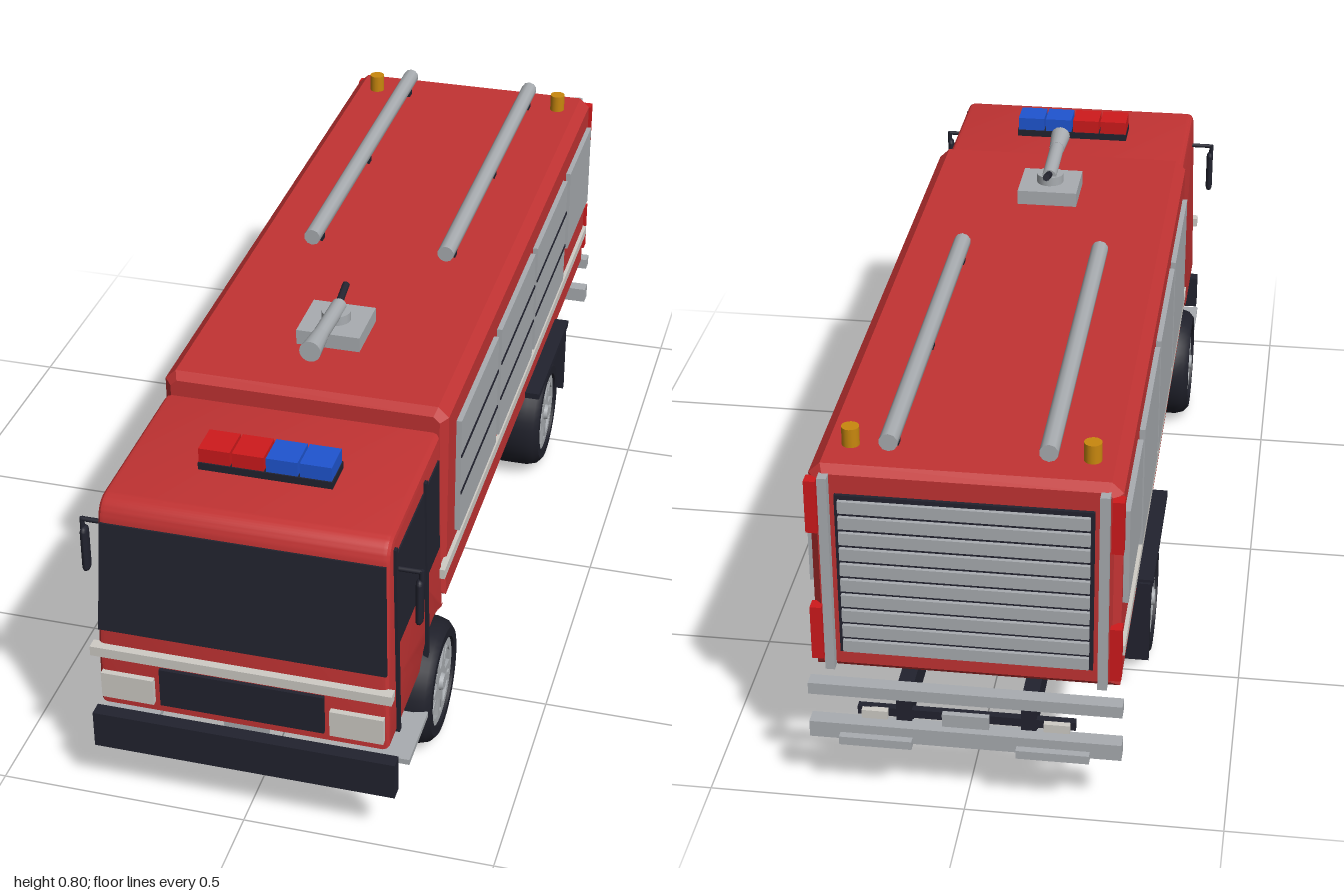
import * as THREE from 'three';
import { toCreasedNormals } from 'three/addons/utils/BufferGeometryUtils.js';

const mat = (name, color, side = THREE.FrontSide) =>
  Object.assign(new THREE.MeshStandardMaterial({ color, side }), { name });

export function createModel() {
  const red = mat('body red', 0xc23333);
  const dark = mat('dark trim', 0x22232f);
  const tyreMat = mat('tyre black', 0x1f202a);
  const grey = mat('metal grey', 0xa9adb1);
  const pale = mat('pale stripe', 0xcfccc6);
  const lampRed = mat('lamp red', 0xcf1a1c);
  const blue = mat('lamp blue', 0x1f55d0);
  const amber = mat('amber', 0xc9880e);

  const truck = new THREE.Group();
  truck.name = 'fireTruck';

  const add = (name, geo, m, parent = truck) => {
    const mesh = new THREE.Mesh(geo, m);
    mesh.name = name;
    parent.add(mesh);
    return mesh;
  };
  // box given by its limits on each axis
  const boxGeo = (x0, x1, y0, y1, z0, z1) =>
    new THREE.BoxGeometry(x1 - x0, y1 - y0, z1 - z0).translate((x0 + x1) / 2, (y0 + y1) / 2, (z0 + z1) / 2);
  const box = (name, m, ...b) => add(name, boxGeo(...b), m);
  // the same box on both sides
  const pair = (name, m, x0, x1, ...b) => {
    box(name + 'Left', m, x0, x1, ...b);
    box(name + 'Right', m, -x1, -x0, ...b);
  };
  const cyl = (name, m, r, a, b, sides = 16, r2 = r) => {
    const from = new THREE.Vector3(...a), to = new THREE.Vector3(...b);
    const dir = to.clone().sub(from);
    const mesh = add(name, new THREE.CylinderGeometry(r2, r, dir.length(), sides), m);
    mesh.position.copy(from).add(to).multiplyScalar(0.5);
    mesh.quaternion.setFromUnitVectors(new THREE.Vector3(0, 1, 0), dir.normalize());
    return mesh;
  };
  // the cab leans inwards towards the roof
  const lean = (geo) => {
    const p = geo.attributes.position;
    for (let i = 0; i < p.count; i++)
      p.setX(i, p.getX(i) - Math.sign(p.getX(i)) * (p.getY(i) - 0.225) * 0.02);
    geo.computeVertexNormals();
    return geo;
  };

  // Cab: side profile (z, y) with wheel arch, pulled across the width
  const profile = new THREE.Shape();
  profile.moveTo(0.744, 0.225);
  profile.lineTo(0.982, 0.225);
  profile.lineTo(0.982, 0.36);
  profile.lineTo(0.957, 0.63);
  profile.quadraticCurveTo(0.952, 0.675, 0.91, 0.675);
  profile.lineTo(0.567, 0.675);
  profile.lineTo(0.567, 0.25);
  for (let i = 0; i <= 8; i++) {
    const a = 2.1 - i * (2.1 - 0.76) / 8;
    profile.lineTo(0.64 + 0.143 * Math.cos(a), 0.13 + 0.143 * Math.sin(a));
  }
  const bevel = 0.014;
  let cab = new THREE.ExtrudeGeometry(profile, {
    depth: 0.58 - 2 * bevel, bevelThickness: bevel, bevelSize: bevel, bevelOffset: -bevel, bevelSegments: 3,
  });
  cab.translate(0, 0, -(0.29 - bevel)).rotateY(-Math.PI / 2);
  add('cab', toCreasedNormals(lean(cab), 0.5), red);

  // Windscreen, leaning back with the cab front
  const glass = new THREE.Shape([[-0.283, 0], [0.283, 0], [0.275, 0.233], [-0.275, 0.233]]
    .map(([x, y]) => new THREE.Vector2(x, y)));
  const screen = add('windscreen', new THREE.ExtrudeGeometry(glass, { depth: 0.007, bevelEnabled: false }), dark);
  screen.position.set(0, 0.398, 0.976);
  screen.rotation.x = -0.093;

  // Cab front
  box('frontStripe', pale, -0.297, 0.297, 0.345, 0.366, 0.975, 0.998);
  box('grille', dark, -0.163, 0.163, 0.245, 0.33, 0.975, 0.99);
  pair('headlight', pale, 0.175, 0.28, 0.246, 0.303, 0.975, 0.994);
  box('frontBumper', dark, -0.303, 0.303, 0.12, 0.2, 0.966, 0.995);
  box('frontPlate', grey, -0.045, 0.045, 0.19, 0.22, 0.955, 0.965);

  // Cab door: windows and seams on the left side
  for (const [z0, z1] of [[0.71, 0.912], [0.592, 0.69]])
    add('sideWindow', lean(boxGeo(0.286, 0.293, 0.425, 0.63, z0, z1)), dark);
  for (const z of [0.925, 0.7])
    add('doorSeam', lean(boxGeo(0.286, 0.296, 0.23, 0.65, z - 0.006, z + 0.006)), dark);

  // Mirrors and steps
  for (const s of [-1, 1]) {
    cyl('mirrorArm', dark, 0.005, [s * 0.275, 0.597, 0.91], [s * 0.33, 0.597, 0.91], 8);
    cyl('mirrorStem', dark, 0.005, [s * 0.33, 0.6, 0.91], [s * 0.33, 0.57, 0.91], 8);
    const mirror = add('mirror', new THREE.CapsuleGeometry(0.011, 0.08, 4, 10), dark);
    mirror.scale.set(0.7, 1, 1.3);
    mirror.position.set(s * 0.327, 0.53, 0.91);
  }
  pair('cabStep', grey, 0.2, 0.31, 0.134, 0.146, 0.76, 0.91);

  // Light bar
  box('lightBarBase', dark, -0.132, 0.132, 0.672, 0.69, 0.73, 0.805);
  for (let i = 0; i < 4; i++) {
    const x = -0.131 + i * 0.0663;
    box('lightBarLamp', i < 2 ? lampRed : blue, x, x + 0.062, 0.69, 0.72, 0.733, 0.802);
  }

  // Body: chamfered section pulled along z
  const section = new THREE.Shape([[-0.29, 0.27], [0.29, 0.27], [0.29, 0.693], [0.268, 0.714], [-0.268, 0.714], [-0.29, 0.693]]
    .map(([x, y]) => new THREE.Vector2(x, y)));
  const body = new THREE.ExtrudeGeometry(section, {
    depth: 1.465, bevelThickness: 0.015, bevelSize: 0.015, bevelOffset: -0.015, bevelSegments: 1,
  });
  add('body', body.translate(0, 0, -0.93), red);

  // Side lockers, with slat lines on the left side
  const lockers = [[0.13, 0.47], [-0.245, 0.1], [-0.615, -0.27]];
  for (const [z0, z1] of lockers) {
    pair('locker', grey, 0.285, 0.301, 0.385, 0.646, z0, z1);
    for (const y of [0.476, 0.564]) box('lockerLine', dark, 0.298, 0.303, y - 0.003, y + 0.003, z0, z1);
  }
  pair('rearLocker', grey, 0.285, 0.301, 0.447, 0.646, -0.915, -0.652);
  pair('sideStripe', pale, 0.285, 0.298, 0.342, 0.364, -0.935, 0.583);

  // Rear shutter, posts and lamps
  box('shutterBack', dark, -0.24, 0.24, 0.315, 0.66, -0.952, -0.94);
  for (let i = 0; i < 10; i++) {
    const y = 0.32 + i * 0.034;
    box('shutterSlat', grey, -0.233, 0.233, y, y + 0.025, -0.96, -0.945);
  }
  pair('rearPost', grey, 0.25, 0.268, 0.28, 0.7, -0.964, -0.94);
  pair('upperTailLamp', lampRed, 0.272, 0.294, 0.58, 0.69, -0.96, -0.935);
  pair('lowerTailLamp', lampRed, 0.272, 0.294, 0.3, 0.415, -0.96, -0.935);

  // Rear bumpers and brackets
  box('rearUpperBar', grey, -0.3, 0.3, 0.232, 0.257, -0.982, -0.953);
  box('rearLowerBar', grey, -0.3, 0.3, 0.135, 0.17, -0.985, -0.953);
  pair('rearStepPad', grey, 0.1, 0.24, 0.132, 0.15, -1.0, -0.98);
  pair('rearBracket', dark, 0.105, 0.135, 0.15, 0.24, -0.96, -0.94);
  box('rearPlate', grey, -0.045, 0.045, 0.172, 0.2, -0.972, -0.96);
  pair('rearReflector', pale, 0.15, 0.2, 0.178, 0.196, -0.972, -0.958);
  box('rearCrossBar', dark, -0.21, 0.21, 0.178, 0.196, -0.96, -0.945);

  // Chassis rails, rear fenders and mud flaps
  pair('chassisRail', dark, 0.105, 0.136, 0.175, 0.237, -0.945, 0.905);
  pair('railMount', dark, 0.105, 0.136, 0.23, 0.29, 0.5, 0.59);
  pair('rearFender', dark, 0.185, 0.323, 0.272, 0.286, -0.59, -0.24);
  pair('mudFlap', dark, 0.185, 0.318, 0.095, 0.28, -0.596, -0.586);

  // Roof tubes on supports, and beacons
  for (const s of [-1, 1]) {
    cyl('roofTube', grey, 0.018, [s * 0.148, 0.742, -0.89], [s * 0.148, 0.742, -0.02], 10);
    for (const z of [-0.07, -0.46, -0.84])
      box('tubeSupport', dark, s * 0.148 - 0.012, s * 0.148 + 0.012, 0.71, 0.73, z - 0.01, z + 0.01);
    cyl('beacon', amber, 0.017, [s * 0.225, 0.71, -0.855], [s * 0.225, 0.752, -0.855], 16);
  }

  // Water cannon
  box('cannonBase', grey, -0.066, 0.066, 0.712, 0.746, 0.247, 0.375);
  cyl('cannonPivot', grey, 0.03, [0, 0.74, 0.31], [0, 0.766, 0.31], 18);
  cyl('cannonBarrel', grey, 0.016, [0, 0.766, 0.29], [0, 0.775, 0.44], 16);
  cyl('cannonNozzle', grey, 0.017, [0, 0.774, 0.43], [0, 0.777, 0.5], 16, 0.022);
  cyl('cannonLever', dark, 0.008, [0, 0.757, 0.34], [0, 0.786, 0.236], 8);

  // Wheels: tyre with a rim of five paired spokes
  const tyrePts = [[0, -0.061], [0.11, -0.061], [0.124, -0.05], [0.13, -0.03], [0.13, 0.03], [0.124, 0.05],
    [0.112, 0.061], [0.093, 0.061], [0.091, 0.043], [0, 0.043]].map(([r, y]) => new THREE.Vector2(r, y));
  const tyreGeo = toCreasedNormals(new THREE.LatheGeometry(tyrePts, 40).rotateZ(-Math.PI / 2), 0.6);
  const rim = new THREE.Shape().absarc(0, 0, 0.092, 0, Math.PI * 2);
  const hole = (a, r0, w0, r1, w1) => rim.holes.push(new THREE.Path(
    [[r0, -w0], [r1, -w1], [r1 * 1.03, 0], [r1, w1], [r0, w0]]
      .map(([r, t]) => new THREE.Vector2(r * Math.cos(a + t), r * Math.sin(a + t)))));
  for (let i = 0; i < 5; i++) {
    const a = Math.PI / 2 + i * Math.PI * 0.4;
    hole(a, 0.036, 0.18, 0.076, 0.34);
    hole(a + Math.PI / 5, 0.045, 0.04, 0.074, 0.09);
  }
  const rimGeo = new THREE.ExtrudeGeometry(rim, { depth: 0.01, bevelEnabled: false, curveSegments: 32 })
    .rotateY(Math.PI / 2).translate(0.045, 0, 0);
  const hubGeo = new THREE.CylinderGeometry(0.016, 0.02, 0.012, 16).rotateZ(-Math.PI / 2).translate(0.057, 0, 0);
  for (const [end, z] of [['front', 0.64], ['rear', -0.415]])
    for (const s of [-1, 1]) {
      const wheel = new THREE.Group();
      wheel.name = end + 'Wheel' + (s > 0 ? 'Left' : 'Right');
      add('tyre', tyreGeo, tyreMat, wheel);
      add('rim', rimGeo, grey, wheel);
      add('hub', hubGeo, grey, wheel);
      wheel.position.set(s * 0.252, 0.13, z);
      if (s < 0) wheel.rotation.y = Math.PI;
      truck.add(wheel);
    }
  return truck;
}
